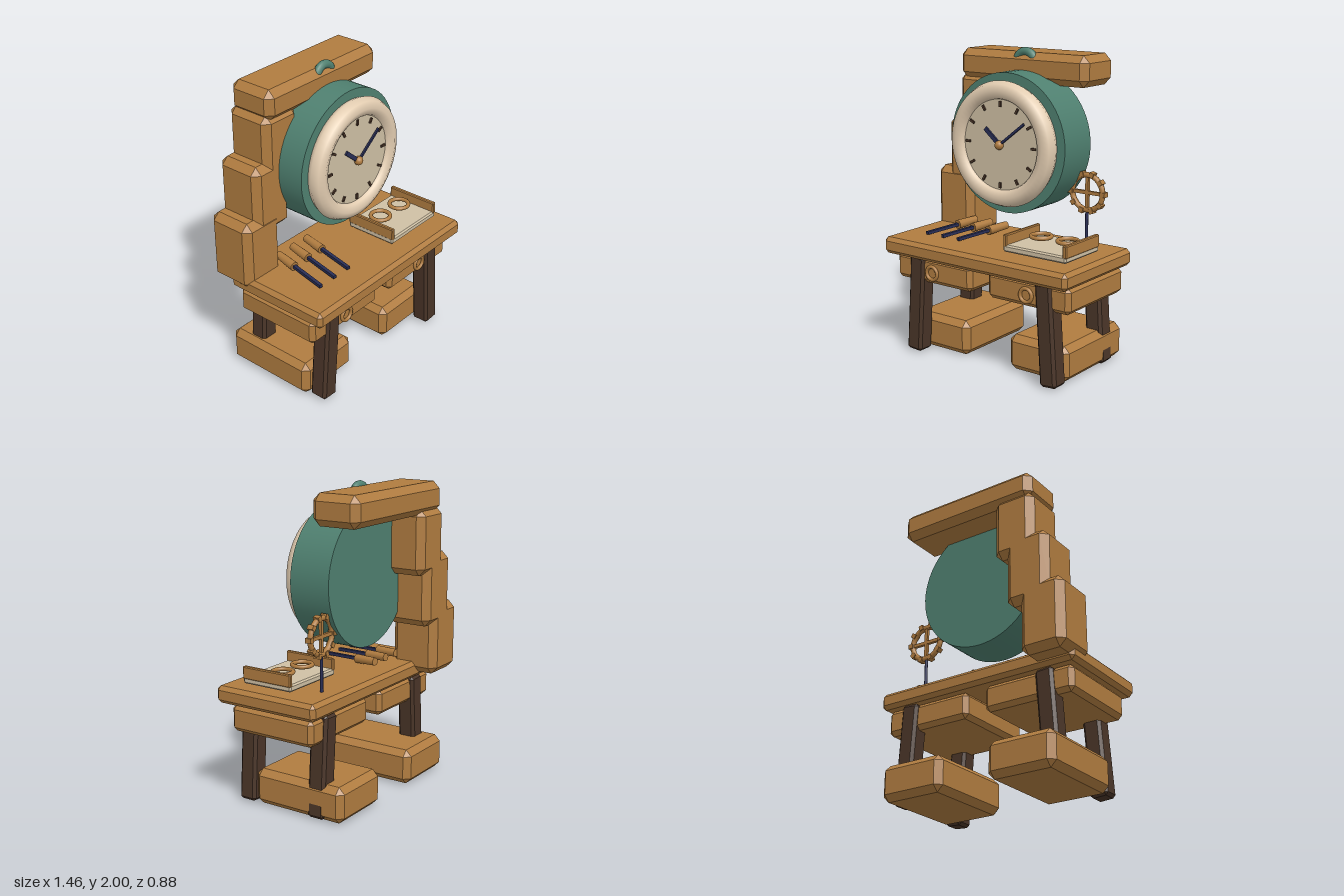
import * as THREE from 'three';
import { ConvexGeometry } from 'three/addons/geometries/ConvexGeometry.js';

const mat = (name, color) => Object.assign(new THREE.MeshStandardMaterial({ color }), { name });

export function createModel() {
  const wood = mat('wood', 0xb07c40);
  const darkWood = mat('dark wood', 0x4a3528);
  const teal = mat('teal', 0x4f8070);
  const bezelCream = mat('bezel cream', 0xe4ceb2);
  const cream = mat('cream', 0xcfc0a4);
  const navy = mat('navy', 0x282d55);

  const root = new THREE.Group();
  root.name = 'clockDesk';

  const add = (name, geometry, material, pos = [0, 0, 0], rot = [0, 0, 0], parent = root) => {
    const m = new THREE.Mesh(geometry, material);
    m.name = name;
    m.position.set(...pos);
    m.rotation.set(...rot);
    parent.add(m);
    return m;
  };
  const group = (name, pos, parent = root) => {
    const g = new THREE.Group();
    g.name = name;
    g.position.set(...pos);
    parent.add(g);
    return g;
  };

  // Box with every edge cut at 45 degrees
  const chamferBox = (w, h, d, b) => {
    const points = [];
    for (const x of [-1, 1]) for (const y of [-1, 1]) for (const z of [-1, 1]) {
      for (const c of [[0, b, b], [b, 0, b], [b, b, 0]]) {
        points.push(new THREE.Vector3(x * (w / 2 - c[0]), y * (h / 2 - c[1]), z * (d / 2 - c[2])));
      }
    }
    return new ConvexGeometry(points);
  };
  // Chamfered block given by its limits on each axis
  const block = (name, [x0, x1], [y0, y1], [z0, z1], b, material = wood) =>
    add(name, chamferBox(x1 - x0, y1 - y0, z1 - z0, b), material,
      [(x0 + x1) / 2, (y0 + y1) / 2, (z0 + z1) / 2]);

  // Desk
  block('tableTop', [-0.717, 0.722], [0.665, 0.775], [-0.3, 0.44], 0.025);
  block('rightDrawer', [-0.685, -0.06], [0.49, 0.66], [-0.26, 0.35], 0.028);
  block('leftDrawer', [0.07, 0.687], [0.49, 0.66], [-0.26, 0.35], 0.028);
  for (const x of [-0.373, 0.378]) {
    add('drawerRing', new THREE.TorusGeometry(0.043, 0.012, 8, 32), wood, [x, 0.567, 0.356]);
  }
  for (const s of [-1, 1]) for (const z of [0.305, -0.22]) {
    add(z > 0 ? 'frontLeg' : 'backLeg', chamferBox(0.122, 0.655, 0.122, 0.018), darkWood,
      [s * 0.52 + 0.003, 0.337, z], [0, 0, s * 0.068]);
  }

  // Foot blocks
  block('rightFootBlock', [-0.635, -0.178], [0.005, 0.237], [-0.41, 0.245], 0.04);
  block('leftFootBlock', [0.15, 0.6], [0.005, 0.237], [-0.41, 0.245], 0.04);

  // Stepped arm behind the clock
  block('lowerColumn', [-0.735, -0.432], [0.7, 1.163], [-0.443, -0.117], 0.045);
  block('middleColumn', [-0.635, -0.335], [1.04, 1.507], [-0.443, -0.12], 0.045);
  block('upperColumn', [-0.535, -0.25], [1.385, 1.81], [-0.443, -0.12], 0.045);
  block('topBeam', [-0.517, 0.48], [1.773, 1.97], [-0.435, -0.105], 0.045);
  add('hangingLoop', new THREE.TorusGeometry(0.069, 0.027, 12, 32), teal, [0.005, 1.905, -0.142]);

  // Clock
  const clock = group('clock', [0.005, 1.413, 0]);
  add('clockBody', new THREE.CylinderGeometry(0.445, 0.445, 0.28, 64), teal,
    [0, 0, -0.08], [Math.PI / 2, 0, 0], clock);
  add('bezel', new THREE.TorusGeometry(0.337, 0.062, 8, 64), bezelCream, [0, 0, 0.094], [0, 0, 0], clock);
  add('dial', new THREE.CylinderGeometry(0.3, 0.3, 0.06, 48), cream,
    [0, 0, 0.09], [Math.PI / 2, 0, 0], clock);
  for (let i = 0; i < 12; i++) {
    const a = (i * Math.PI) / 6;
    add('hourMark', new THREE.BoxGeometry(0.015, 0.036, 0.012), darkWood,
      [Math.sin(a) * 0.256, Math.cos(a) * 0.256, 0.124], [0, 0, -a], clock);
  }
  const hand = (name, x, y, width, z) =>
    add(name, new THREE.BoxGeometry(Math.hypot(x, y), width, 0.012), navy,
      [x / 2, y / 2, z], [0, 0, Math.atan2(y, x)], clock);
  hand('hourHand', -0.113, 0.095, 0.027, 0.13);
  hand('minuteHand', 0.19, 0.148, 0.015, 0.136);
  add('handHub', new THREE.SphereGeometry(0.029, 16, 12), wood, [0, 0, 0.135], [0, 0, 0], clock);

  // Gear wheel on a post
  add('gearPost', new THREE.CylinderGeometry(0.01, 0.01, 0.26, 12), navy, [0.46, 0.89, -0.175]);
  const gear = group('gear', [0.462, 1.12, -0.175]);
  add('gearRim', new THREE.TorusGeometry(0.112, 0.018, 8, 32), wood, [0, 0, 0], [0, 0, 0], gear);
  for (let i = 0; i < 10; i++) {
    const a = (i * Math.PI) / 5;
    add('gearTooth', new THREE.BoxGeometry(0.034, 0.03, 0.042), wood,
      [Math.cos(a) * 0.12, Math.sin(a) * 0.12, 0], [0, 0, a], gear);
  }
  for (const a of [0, Math.PI / 2]) {
    add('gearSpoke', new THREE.BoxGeometry(0.215, 0.022, 0.02), wood, [0, 0, 0], [0, 0, a], gear);
  }

  // Tray with two rings
  block('trayPlate', [0.157, 0.625], [0.79, 0.835], [-0.063, 0.297], 0.01, cream);
  block('trayRailRight', [0.157, 0.185], [0.82, 0.9], [-0.063, 0.297], 0.006);
  block('trayRailLeft', [0.599, 0.629], [0.82, 0.9], [-0.063, 0.297], 0.006);
  for (const x of [0.298, 0.498]) {
    add('trayRing', new THREE.TorusGeometry(0.064, 0.0135, 10, 32), wood,
      [x, 0.867, 0.088], [Math.PI / 2, 0, 0]);
  }

  // Hand tools lying on the desk
  for (let i = 0; i < 3; i++) {
    const tool = group('tool', [-0.452 + 0.13 * i, 0.808, 0]);
    tool.rotation.set(0.05, -0.17, 0, 'YXZ');
    add('toolBlade', new THREE.BoxGeometry(0.023, 0.02, 0.27), navy, [0, 0, 0.125], [0, 0, 0], tool);
    add('toolHandle', new THREE.CylinderGeometry(0.03, 0.026, 0.16, 12), wood,
      [0, 0, -0.08], [Math.PI / 2, 0, 0], tool);
  }

  return root;
}
